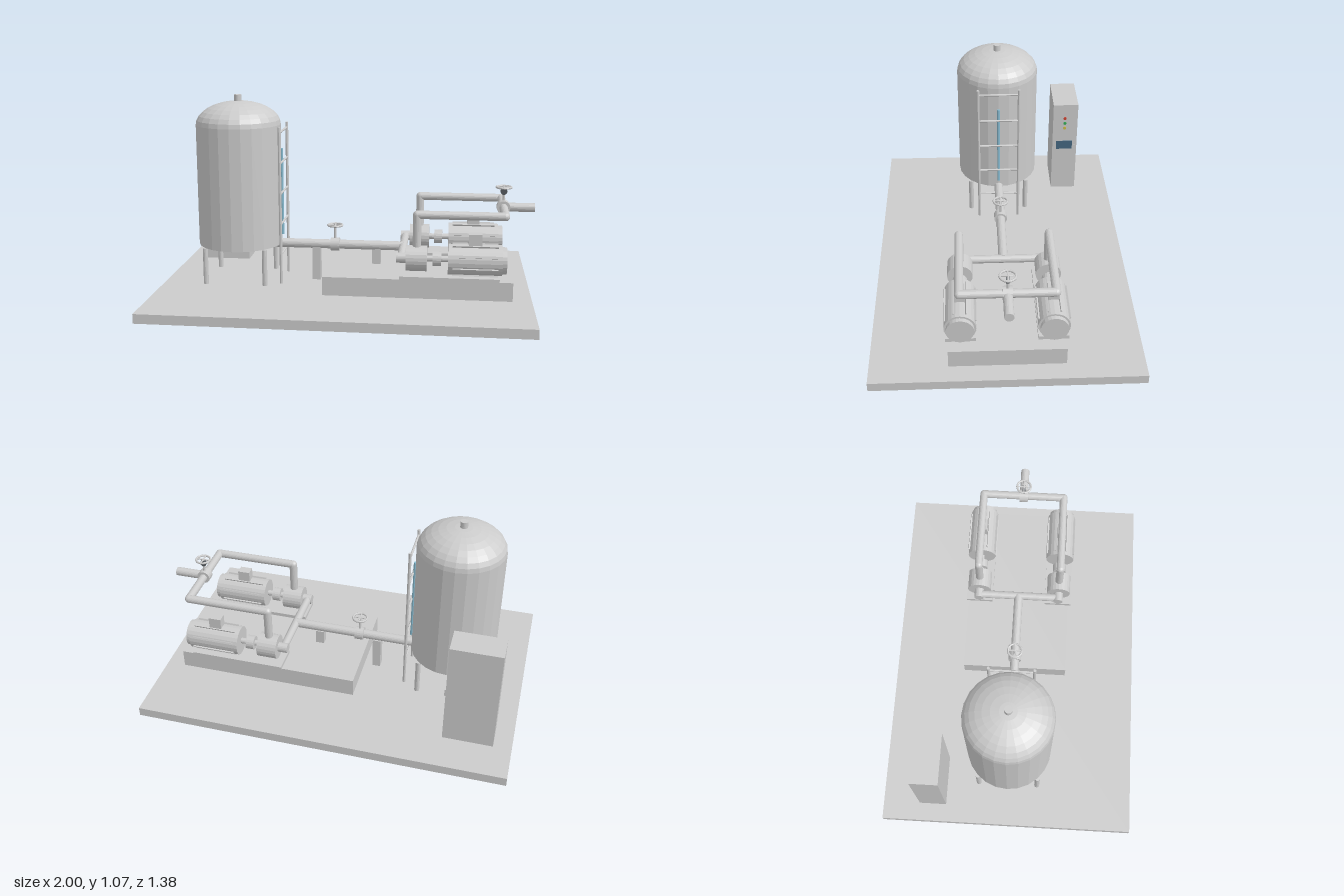
import * as THREE from 'three';

const mat = (color = 0xcccccc) => new THREE.MeshStandardMaterial({ color, flatShading: true });
const grey = mat();

export function createModel() {
  const model = new THREE.Group();
  model.name = 'pumpStation';

  const add = (parent, name, geometry, x, y, z, material = grey) => {
    const mesh = new THREE.Mesh(geometry, material);
    mesh.name = name;
    mesh.position.set(x, y, z);
    parent.add(mesh);
    return mesh;
  };
  // box from minimum and maximum corners
  const box = (parent, name, a, b, material) =>
    add(parent, name, new THREE.BoxGeometry(b[0] - a[0], b[1] - a[1], b[2] - a[2]),
      (a[0] + b[0]) / 2, (a[1] + b[1]) / 2, (a[2] + b[2]) / 2, material);
  // round bar between two points
  const bar = (parent, name, a, b, r, sides = 20, material = grey) => {
    const p = new THREE.Vector3(...a), q = new THREE.Vector3(...b);
    const mesh = add(parent, name, new THREE.CylinderGeometry(r, r, p.distanceTo(q), sides), 0, 0, 0, material);
    mesh.position.copy(p).lerp(q, 0.5);
    mesh.quaternion.setFromUnitVectors(new THREE.Vector3(0, 1, 0), q.sub(p).normalize());
    return mesh;
  };
  const elbow = (parent, x, y, z, r) =>
    add(parent, 'elbow', new THREE.SphereGeometry(r, 16, 12), x, y, z);
  const group = (name, x = 0, y = 0, z = 0) => {
    const g = new THREE.Group();
    g.name = name;
    g.position.set(x, y, z);
    model.add(g);
    return g;
  };

  // Floor slab and plinth
  box(model, 'baseSlab', [-1, 0, -0.69], [0.98, 0.05, 0.69]);
  box(model, 'plinth', [-0.11, 0.05, -0.295], [0.88, 0.15, 0.295]);

  // Tank with elliptical dome, vent and legs
  const tank = group('tank', -0.604, 0, 0);
  const R = 0.23;
  const profile = [new THREE.Vector2(0, 0.25), new THREE.Vector2(R, 0.25)];
  for (let i = 0; i <= 8; i++) {
    const t = (i / 8) * Math.PI / 2;
    profile.push(new THREE.Vector2(i === 8 ? 0 : R * Math.cos(t), 0.91 + 0.127 * Math.sin(t)));
  }
  add(tank, 'tankShell', new THREE.LatheGeometry(profile, 24), 0, 0, 0);
  bar(tank, 'tankVent', [0, 1.02, 0], [0, 1.07, 0], 0.02);
  for (const sx of [-1, 1]) for (const sz of [-1, 1])
    bar(tank, 'tankLeg', [sx * 0.163, 0.05, sz * 0.163], [sx * 0.163, 0.25, sz * 0.163], 0.014, 12);
  bar(tank, 'levelGauge', [0.236, 0.3, 0], [0.236, 0.78, 0], 0.008, 12, mat(0x88bbd0));

  // Ladder
  const ladder = group('ladder', -0.359, 0, 0);
  for (const s of [-1, 1]) bar(ladder, 'ladderRail', [0, 0.05, s * 0.115], [0, 0.91, s * 0.115], 0.008, 10);
  for (let i = 0; i < 5; i++) {
    const y = 0.212 + i * 0.167;
    bar(ladder, 'ladderRung', [0, y, -0.115], [0, y, 0.115], 0.006, 10);
  }

  // Control cabinet with lamps, screen and handle on its right side
  const cabinet = group('controlCabinet');
  box(cabinet, 'cabinetBody', [-0.904, 0.05, -0.488], [-0.638, 0.645, -0.34]);
  [0xcc4433, 0x33aa55, 0xccbb44].forEach((color, i) => {
    const y = 0.554 - i * 0.0335;
    bar(cabinet, 'indicatorLamp', [-0.64, y, -0.411], [-0.632, y, -0.411], 0.009, 16, mat(color));
  });
  box(cabinet, 'displayScreen', [-0.64, 0.338, -0.46], [-0.635, 0.394, -0.363], mat(0x44667f));
  box(cabinet, 'cabinetHandle', [-0.64, 0.33, -0.477], [-0.63, 0.37, -0.471]);

  // Suction line, its supports and header
  const suction = group('suctionPiping');
  bar(suction, 'suctionPipe', [-0.402, 0.25, 0], [0.3, 0.25, 0], 0.025);
  box(suction, 'pipeSupport', [-0.2, 0.05, -0.023], [-0.155, 0.23, 0.023]);
  box(suction, 'pipeSupport', [0.13, 0.15, -0.023], [0.177, 0.23, 0.023]);
  bar(suction, 'suctionHeader', [0.3, 0.25, -0.235], [0.3, 0.25, 0.235], 0.022);

  // Valve: body along x, stem and spoked handwheel
  const valve = (x, y, turn) => {
    const v = group('valve', x, y, 0);
    v.rotation.y = turn;
    bar(v, 'valveBody', [-0.024, 0, 0], [0.024, 0, 0], 0.036);
    bar(v, 'valveStem', [0, 0.02, 0], [0, 0.11, 0], 0.007, 12);
    add(v, 'handwheel', new THREE.TorusGeometry(0.039, 0.006, 8, 24), 0, 0.108, 0).rotation.x = Math.PI / 2;
    bar(v, 'handwheelSpoke', [-0.039, 0.108, 0], [0.039, 0.108, 0], 0.004, 8);
    bar(v, 'handwheelSpoke', [0, 0.108, -0.039], [0, 0.108, 0.039], 0.004, 8);
  };
  valve(-0.075, 0.25, 0);
  valve(0.834, 0.483, Math.PI / 2);

  // Dial on the outlet valve stem
  bar(model, 'outletDial', [0.834, 0.568, -0.008], [0.834, 0.568, 0.008], 0.018, 20, mat(0x555a60));

  // Two mirrored pump sets
  for (const s of [-1, 1]) {
    const z = 0.232;
    const pump = group(s > 0 ? 'leftPumpSet' : 'rightPumpSet', 0, 0, s * z);
    box(pump, 'motorBasePlate', [0.295, 0.15, -0.077], [0.81, 0.17, 0.077]);
    bar(pump, 'suctionFlange', [0.275, 0.25, 0], [0.328, 0.25, 0], 0.027);
    bar(pump, 'pumpBody', [0.327, 0.25, 0], [0.436, 0.25, 0], 0.067, 24);
    bar(pump, 'driveShaft', [0.43, 0.25, 0], [0.55, 0.25, 0], 0.016, 16);
    bar(pump, 'coupling', [0.465, 0.25, 0], [0.51, 0.25, 0], 0.038);
    bar(pump, 'motorBody', [0.545, 0.25, 0], [0.823, 0.25, 0], 0.08, 24);
    bar(pump, 'motorEndCap', [0.823, 0.25, 0], [0.846, 0.25, 0], 0.07, 24);
    box(pump, 'terminalBox', [0.65, 0.32, -0.026], [0.718, 0.39, 0.026]);

    // Cooling fins around the motor
    for (let i = 0; i < 8; i++) {
      const a = (i + 0.5) * Math.PI / 4;
      const fin = add(pump, 'coolingFin', new THREE.BoxGeometry(0.235, 0.014, 0.006),
        0.685, 0.25 + 0.081 * Math.sin(a), 0.081 * Math.cos(a));
      fin.rotation.x = Math.PI / 2 - a;
    }

    // Riser and delivery branch
    bar(pump, 'riser', [0.382, 0.3, 0], [0.382, 0.483, 0], 0.022);
    elbow(pump, 0.382, 0.483, 0, 0.022);
    bar(pump, 'deliveryPipe', [0.382, 0.483, 0], [0.834, 0.483, 0], 0.022);
    elbow(pump, 0.834, 0.483, 0, 0.022);
  }

  // Delivery header and outlet
  bar(model, 'deliveryHeader', [0.834, 0.483, -0.232], [0.834, 0.483, 0.232], 0.022);
  bar(model, 'outletPipe', [0.834, 0.483, 0], [1, 0.483, 0], 0.024);

  return model;
}
